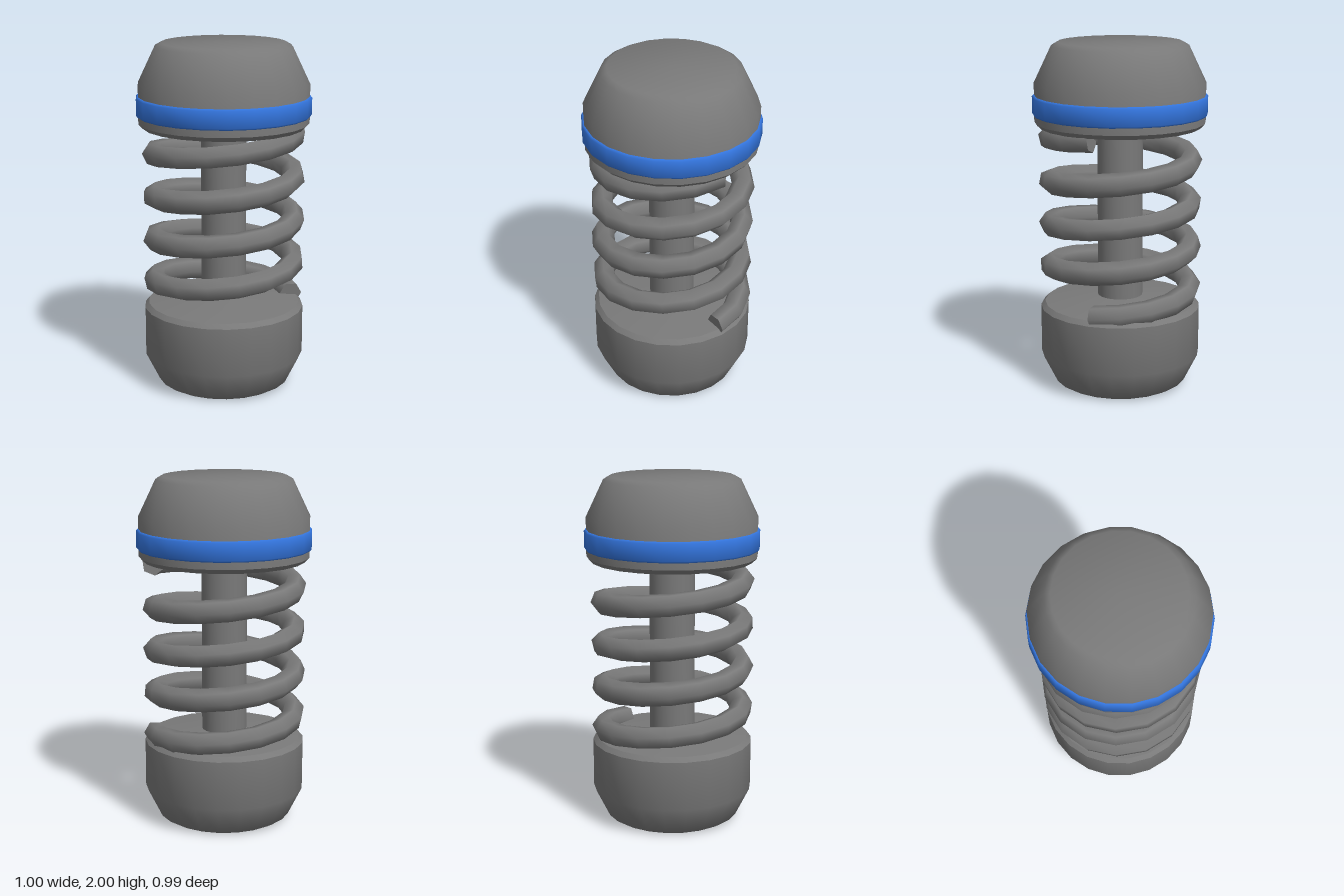
import * as THREE from 'three';
import { toCreasedNormals } from 'three/addons/utils/BufferGeometryUtils.js';

const SIDES = 22;
const grey = new THREE.MeshStandardMaterial({ color: 0x797979 });
const blue = new THREE.MeshStandardMaterial({ color: 0x3374dc });

// Turned part from [radius, height] pairs, listed bottom to top on the outside
function turned(name, profile, material = grey, crease = 0.65) {
  const points = profile.map(([r, y]) => new THREE.Vector2(r, y));
  const geometry = new THREE.LatheGeometry(points, SIDES);
  geometry.rotateY(Math.PI / 2);
  const mesh = new THREE.Mesh(toCreasedNormals(geometry, crease), material);
  mesh.name = name;
  return mesh;
}

// Rising coil that starts and ends on the +x side
class Helix extends THREE.Curve {
  constructor(radius, bottom, pitch, turns) {
    super();
    Object.assign(this, { radius, bottom, pitch, turns });
  }
  getPoint(t, target = new THREE.Vector3()) {
    const a = t * this.turns * Math.PI * 2;
    return target.set(
      this.radius * Math.cos(a),
      this.bottom + t * this.turns * this.pitch,
      -this.radius * Math.sin(a)
    );
  }
}

function coilSpring() {
  const group = new THREE.Group();
  group.name = 'coilSpring';
  const path = new Helix(0.405, 0.5, 0.25, 4);
  const wireRadius = 0.066;
  const wire = new THREE.Mesh(new THREE.TubeGeometry(path, 64, wireRadius, 6), grey);
  wire.name = 'springWire';
  group.add(wire);

  // Flat cut ends of the wire
  const frames = path.computeFrenetFrames(64);
  for (const end of [0, 1]) {
    const i = end * 64;
    const out = frames.tangents[i].clone().multiplyScalar(end ? 1 : -1);
    const x = frames.normals[i].clone();
    const y = new THREE.Vector3().crossVectors(out, x);
    const cap = new THREE.Mesh(new THREE.CircleGeometry(wireRadius, 6), grey);
    cap.quaternion.setFromRotationMatrix(new THREE.Matrix4().makeBasis(x, y, out));
    cap.position.copy(path.getPoint(end));
    cap.name = end ? 'springTopEnd' : 'springBottomEnd';
    group.add(cap);
  }
  return group;
}

export function createModel() {
  const model = new THREE.Group();
  model.name = 'springDamper';

  // Lower cup with a softened base and a shallow cone on top
  model.add(turned('lowerCup', [
    [0, 0], [0.35, 0], [0.385, 0.02], [0.464, 0.18],
    [0.464, 0.462], [0.44, 0.488], [0.13, 0.525], [0, 0.525],
  ]));

  // Central rod
  model.add(turned('rod', [[0.13, 0.5], [0.13, 1.52]]));

  model.add(coilSpring());

  // Upper cap with a softened crown, its underside a shallow cone
  model.add(turned('upperCap', [
    [0, 1.49], [0.13, 1.49], [0.462, 1.522], [0.488, 1.548],
    [0.488, 1.77], [0.388, 1.98], [0.353, 2], [0, 2],
  ]));

  // Coloured band around the cap, shaded smoothly over its edges
  model.add(turned('capBand', [
    [0.484, 1.588], [0.492, 1.588], [0.5, 1.598],
    [0.5, 1.692], [0.492, 1.702], [0.484, 1.702],
  ], blue, 1.2));

  return model;
}
